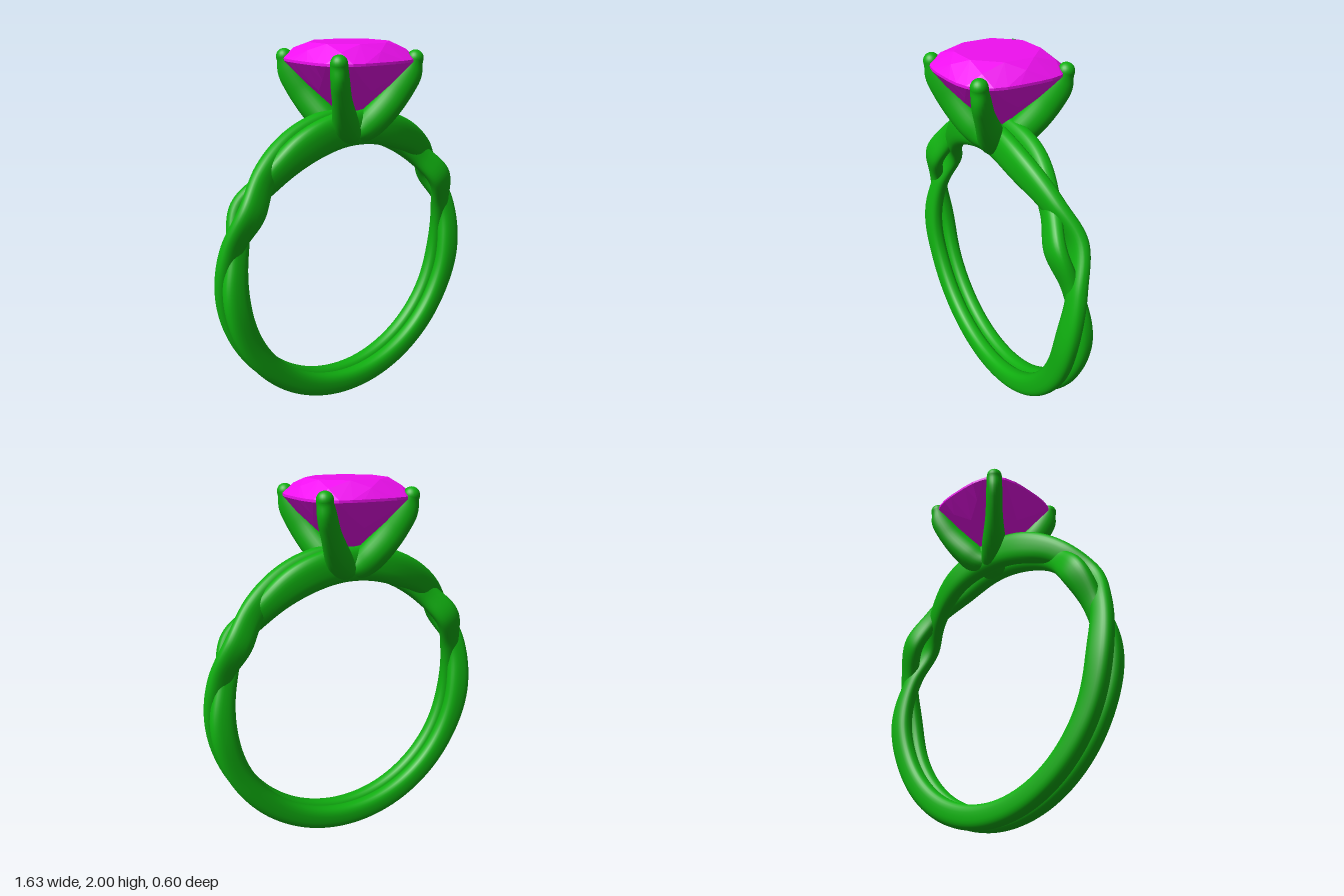
import * as THREE from 'three';
import { ConvexGeometry } from 'three/addons/geometries/ConvexGeometry.js';

const metal = new THREE.MeshStandardMaterial({ color: 0x10b010 });
const stone = new THREE.MeshStandardMaterial({ color: 0xf010f0, flatShading: true });
const CENTRE_Y = 0.8, INNER = 0.67;
const bump = (t, c, w) => Math.exp(-(((t - c) / w) ** 2));

// Skin a sequence of cross-section loops; point(i, j) gives ring i, corner j
function loft(rings, sides, closed, point) {
  const pos = [], idx = [];
  for (let i = 0; i < rings; i++)
    for (let j = 0; j < sides; j++) pos.push(...point(i, j).toArray());
  for (let i = 0; i < (closed ? rings : rings - 1); i++)
    for (let j = 0; j < sides; j++) {
      const n = ((i + 1) % rings) * sides, k = (j + 1) % sides;
      const a = i * sides + j, b = i * sides + k, c = n + j, d = n + k;
      idx.push(a, b, c, b, d, c);
    }
  const geo = new THREE.BufferGeometry();
  geo.setAttribute('position', new THREE.Float32BufferAttribute(pos, 3));
  geo.setIndex(idx);
  geo.computeVertexNormals();
  return geo;
}

// Smooth interpolation through [key, value] pairs
function ease(keys, t) {
  let i = 0;
  while (i < keys.length - 2 && t > keys[i + 1][0]) i++;
  const [t0, v0] = keys[i], [t1, v1] = keys[i + 1];
  return v0 + (v1 - v0) * THREE.MathUtils.smoothstep(t, t0, t1);
}

// One band strand: it weaves sideways, passing over on +x and under on -x
function strandGeometry() {
  const rings = 240, sides = 28;
  const sideways = new THREE.CatmullRomCurve3([
    [0, 0.05], [22, 0.048], [42, 0], [57, -0.058], [74, 0], [95, 0.043], [120, 0.045], [180, 0.045],
  ].map(([t, z]) => new THREE.Vector3(t, z, 0)));
  const table = sideways.getPoints(300);
  const zAt = (t) => {
    const k = Math.max(1, table.findIndex((p) => p.x >= t - 1e-6));
    const a = table[k - 1], b = table[k];
    return a.y + (b.y - a.y) * THREE.MathUtils.clamp((t - a.x) / (b.x - a.x), 0, 1);
  };
  return loft(rings, sides, true, (i, j) => {
    const deg = (i / rings) * 360 - 180, t = Math.abs(deg), a = THREE.MathUtils.degToRad(deg);
    const cross = Math.min(1, bump(t, 42, 13) + bump(t, 74, 13));
    let outer = 0.8 + 0.06 * ((1 + Math.cos(a)) / 2) ** 2, inner = INNER;
    if (deg > 0) inner += 0.035 * cross;
    else outer -= 0.04 * cross;
    const half = ease([[0, 0.05], [30, 0.05], [57, 0.042], [100, 0.047], [180, 0.047]], t);
    // Rounded-box cross-section
    const f = (j / sides) * Math.PI * 2;
    const soft = (v) => Math.sign(v) * Math.abs(v) ** 0.8;
    const r = (outer + inner) / 2 + soft(Math.cos(f)) * (outer - inner) / 2;
    const z = zAt(t) + soft(Math.sin(f)) * half;
    return new THREE.Vector3(Math.sin(a) * r, CENTRE_Y + Math.cos(a) * r, z);
  });
}

// One claw: an oval section swept outward and up in a diagonal plane
function prongGeometry(angle) {
  const path = new THREE.CatmullRomCurve3([
    [-0.02, 1.53], [0.07, 1.55], [0.165, 1.635], [0.265, 1.76], [0.32, 1.86], [0.34, 1.92],
  ].map(([d, y]) => new THREE.Vector3(d, y, 0)));
  const deep = [[0, 0.06], [0.35, 0.08], [0.7, 0.068], [1, 0.043]];
  const wide = [[0, 0.085], [0.3, 0.07], [0.6, 0.048], [1, 0.043]];
  const rings = 40, sides = 24;
  const out = new THREE.Vector3(Math.cos(angle), 0, Math.sin(angle));
  const up = new THREE.Vector3(0, 1, 0);
  return loft(rings, sides, false, (i, j) => {
    const u = i / (rings - 1), p = path.getPoint(u), t = path.getTangent(u);
    const T = out.clone().multiplyScalar(t.x).addScaledVector(up, t.y);
    const N = out.clone().multiplyScalar(t.y).addScaledVector(up, -t.x);
    const B = T.clone().cross(N);
    const f = (j / sides) * Math.PI * 2;
    return out.clone().multiplyScalar(p.x).addScaledVector(up, p.y)
      .addScaledVector(N, Math.cos(f) * ease(deep, u))
      .addScaledVector(B, Math.sin(f) * ease(wide, u));
  });
}

// Cushion-cut stone: convex hull of table, crown, girdle and pavilion rings
function gemGeometry() {
  const pts = [new THREE.Vector3(0, 1.59, 0)];
  const ring = (n, size, y, turn = 0, power = 3.2) => {
    for (let i = 0; i < n; i++) {
      const a = ((i + turn) / n) * Math.PI * 2, c = Math.cos(a), s = Math.sin(a);
      const r = size / (Math.abs(c) ** power + Math.abs(s) ** power) ** (1 / power);
      pts.push(new THREE.Vector3(c * r, y, s * r));
    }
  };
  ring(8, 0.205, 2.0, 0.5, 2.6);
  ring(8, 0.258, 1.967, 0, 3);
  ring(32, 0.3, 1.918);
  ring(32, 0.3, 1.905);
  ring(8, 0.19, 1.765, 0, 2.6);
  ring(8, 0.245, 1.83, 0.5, 2.8);
  return new ConvexGeometry(pts);
}

export function createModel() {
  const group = new THREE.Group();
  const add = (name, geo, mat, parent = group) => {
    const mesh = new THREE.Mesh(geo, mat);
    mesh.name = name;
    parent.add(mesh);
    return mesh;
  };

  // Twisted band: two identical strands, half a turn apart
  const band = new THREE.Group();
  band.name = 'band';
  group.add(band);
  const strand = strandGeometry();
  add('frontStrand', strand, metal, band);
  add('backStrand', strand, metal, band).rotation.y = Math.PI;

  // Four-claw setting with rounded tips
  const setting = new THREE.Group();
  setting.name = 'setting';
  group.add(setting);
  for (let i = 0; i < 4; i++) {
    const a = Math.PI / 4 + (i * Math.PI) / 2;
    add('prong', prongGeometry(a), metal, setting);
    add('prongTip', new THREE.SphereGeometry(0.043, 24, 16), metal, setting)
      .position.set(Math.cos(a) * 0.34, 1.92, Math.sin(a) * 0.34);
  }

  add('gemstone', gemGeometry(), stone);
  return group;
}
